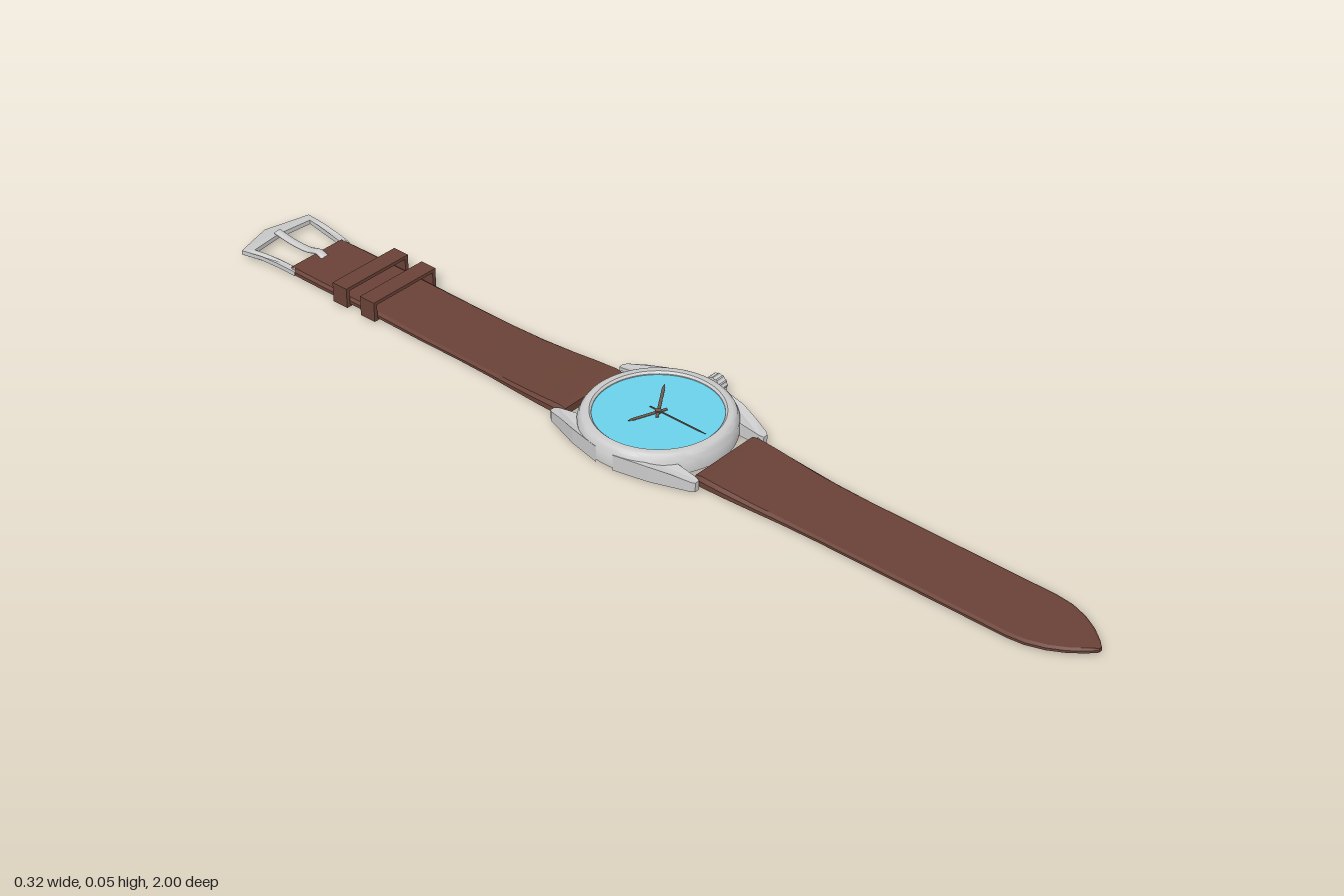
import * as THREE from 'three';
import { toCreasedNormals } from 'three/addons/utils/BufferGeometryUtils.js';

const CX = -0.013, CZ = 0.03; // centre of the watch head
const steel = new THREE.MeshStandardMaterial({ color: 0xcccccc });
const leather = new THREE.MeshStandardMaterial({ color: 0x6a4237 });
const dialBlue = new THREE.MeshStandardMaterial({ color: 0x6ad2ec });
const handBrown = new THREE.MeshStandardMaterial({ color: 0x6b5a50 });

function add(parent, name, geometry, material, x = 0, y = 0, z = 0) {
  const mesh = new THREE.Mesh(geometry, material);
  mesh.name = name;
  mesh.position.set(x, y, z);
  parent.add(mesh);
  return mesh;
}

// Plan outline of [x, z] points, extruded upwards from y = 0
function plate(points, height, hole) {
  const path = (pts) => pts.map(([x, z]) => new THREE.Vector2(x, -z));
  const shape = new THREE.Shape(path(points));
  if (hole) shape.holes.push(new THREE.Path(path(hole)));
  const geo = new THREE.ExtrudeGeometry(shape, { depth: height, bevelEnabled: false });
  return geo.rotateX(-Math.PI / 2);
}

// Move each vertex's y by a rule
function shiftY(geo, rule) {
  const p = geo.attributes.position;
  for (let i = 0; i < p.count; i++) p.setY(i, rule(p.getX(i), p.getY(i), p.getZ(i)));
  geo.computeVertexNormals();
  return geo;
}

// Strap lofted along z from stations [z, halfWidth, bottom, top] in rising z
function strapGeometry(stations) {
  const pos = [], idx = [], n = 6;
  for (const [z, w, b, t] of stations) {
    const h = t - b, c = Math.min(0.006, w * 0.4);
    pos.push(-w, b, z, w, b, z, w, b + h * 0.6, z, w - c, t, z, c - w, t, z, -w, b + h * 0.6, z);
  }
  const last = (stations.length - 1) * n;
  for (let s = 0; s < last; s += n)
    for (let i = 0; i < n; i++) {
      const a = s + i, d = s + ((i + 1) % n);
      idx.push(a, d, d + n, a, d + n, a + n);
    }
  for (let i = 1; i < n - 1; i++) {
    idx.push(0, i + 1, i);
    idx.push(last, last + i, last + i + 1);
  }
  const geo = new THREE.BufferGeometry();
  geo.setAttribute('position', new THREE.Float32BufferAttribute(pos, 3));
  geo.setIndex(idx);
  return toCreasedNormals(geo, 0.4);
}

function buildHead() {
  const head = new THREE.Group();
  head.name = 'watchHead';
  head.position.set(0, 0, CZ);

  // Case and rounded bezel turned in one piece
  const profile = [[0, 0.001], [0.13, 0.001], [0.142, 0.004], [0.147, 0.008], [0.147, 0.034], [0.145, 0.037],
    [0.143, 0.043], [0.139, 0.048], [0.133, 0.05], [0.125, 0.05], [0.121, 0.046], [0.121, 0.04]];
  const lathe = new THREE.LatheGeometry(profile.map(([r, y]) => new THREE.Vector2(r, y)), 72);
  add(head, 'caseAndBezel', toCreasedNormals(lathe, 0.6), steel);
  add(head, 'dial', new THREE.CylinderGeometry(0.1215, 0.1215, 0.004, 72), dialBlue, 0, 0.042, 0);

  // Four lugs sloping down to their tips, with spring bars between
  for (const sz of [1, -1]) {
    for (const sx of [1, -1]) {
      const outline = [[0.084, 0.1], [0.086, 0.165], [0.089, 0.173], [0.099, 0.173], [0.104, 0.167],
        [0.117, 0.13], [0.131, 0.09], [0.146, 0.02], [0.115, 0.06]];
      const geo = plate(outline.map(([x, z]) => [x * sx, z * sz]), 1);
      shiftY(geo, (x, y, z) => {
        const t = Math.max(0, (Math.abs(z) - 0.06) / 0.113);
        return y > 0.5 ? 0.036 - 0.014 * t * t : 0.003;
      });
      add(head, 'lug', geo, steel);
    }
    const bar = new THREE.CylinderGeometry(0.005, 0.005, 0.176, 12).rotateZ(Math.PI / 2);
    add(head, 'springBar', bar, steel, 0, 0.013, sz * 0.163);
  }

  // Fluted crown with stem
  const flutes = [];
  for (let i = 0; i < 48; i++) {
    const a = (i / 48) * Math.PI * 2, r = i % 4 < 2 ? 0.0195 : 0.0178;
    flutes.push([Math.cos(a) * r, Math.sin(a) * r]);
  }
  add(head, 'crown', plate(flutes, 0.02).rotateZ(-Math.PI / 2), steel, 0.151, 0.023, 0);
  add(head, 'crownStem', new THREE.CylinderGeometry(0.01, 0.01, 0.02, 20).rotateZ(Math.PI / 2), steel, 0.148, 0.023, 0);

  // Hands: [name, tip x, tip z, width, tail, height]
  const hands = [['hourHand', -0.058, -0.022, 0.007, 0.018, 0.0448],
    ['minuteHand', 0.073, -0.049, 0.006, 0.02, 0.0462], ['secondHand', 0, 0.113, 0.003, 0.02, 0.0474]];
  for (const [name, x, z, w, tail, y] of hands) {
    const len = Math.hypot(x, z);
    const outline = [[-w / 2, -tail], [w / 2, -tail], [w / 2, len * 0.85], [0, len], [-w / 2, len * 0.85]];
    add(head, name, plate(outline, 0.001), handBrown, 0, y, 0).rotation.y = Math.atan2(x, z);
  }
  add(head, 'handHub', new THREE.CylinderGeometry(0.006, 0.006, 0.006, 20), handBrown, 0, 0.046, 0);
  return head;
}

function buildBuckle() {
  const buckle = new THREE.Group();
  buckle.name = 'buckle';

  // Tapered frame with a pointed end, gently arched
  const right = [[0.074, -0.838], [0.078, -0.875], [0.083, -0.92], [0.09, -0.968]];
  const inner = [[0.061, -0.85], [0.065, -0.885], [0.07, -0.92], [0.074, -0.948]];
  const mirror = (pts) => pts.map(([x, z]) => [-x, z]).reverse();
  const frame = plate([...right, [0, -1], ...mirror(right)], 0.009, [...inner, [0, -0.957], ...mirror(inner)]);
  shiftY(frame, (x, y, z) => y + 0.007 + 0.006 * Math.sin(Math.PI * Math.min(1, (-0.84 - z) / 0.16))
    - (z < -0.96 ? (-0.96 - z) * 0.1 : 0));
  add(buckle, 'buckleFrame', frame, steel);

  // Tongue wrapped over the bar and resting on the frame
  const path = new THREE.CatmullRomCurve3([[0.018, -0.83], [0.024, -0.845], [0.017, -0.875], [0.017, -0.92], [0.023, -0.962]]
    .map(([y, z]) => new THREE.Vector3(0, y, z)));
  const tongue = new THREE.TubeGeometry(path, 24, 0.009, 10);
  // flatten the tube
  const flat = tongue.attributes.position, c = new THREE.Vector3();
  for (let i = 0; i < flat.count; i++) {
    path.getPointAt(Math.floor(i / 11) / 24, c);
    flat.setY(i, c.y + (flat.getY(i) - c.y) * 0.45);
  }
  tongue.computeVertexNormals();
  add(buckle, 'tongue', tongue, steel);
  add(buckle, 'buckleBar', new THREE.CylinderGeometry(0.006, 0.006, 0.14, 12).rotateZ(Math.PI / 2), steel, 0, 0.013, -0.846);
  return buckle;
}

export function createModel() {
  const model = new THREE.Group();
  model.name = 'wristwatch';
  const watch = new THREE.Group();
  watch.name = 'watch';
  watch.position.x = CX;
  model.add(watch);
  watch.add(buildHead(), buildBuckle());

  // Long strap half with a rounded point
  add(watch, 'longStrap', strapGeometry([
    [0.186, 0.084, 0.006, 0.021], [0.2, 0.084, 0.005, 0.024], [0.25, 0.083, 0.005, 0.021], [0.31, 0.08, 0.005, 0.017],
    [0.38, 0.076, 0.005, 0.014], [0.46, 0.074, 0.005, 0.013], [0.86, 0.073, 0.005, 0.013], [0.895, 0.069, 0.005, 0.013],
    [0.93, 0.057, 0.005, 0.013], [0.96, 0.04, 0.005, 0.013], [0.985, 0.02, 0.005, 0.013], [1, 0.004, 0.005, 0.013]]), leather);

  // Short strap half, rising slightly under the keepers
  add(watch, 'shortStrap', strapGeometry([
    [-0.852, 0.072, 0.007, 0.019], [-0.8, 0.073, 0.007, 0.019], [-0.65, 0.073, 0.007, 0.018], [-0.5, 0.074, 0.005, 0.014],
    [-0.4, 0.074, 0.005, 0.013], [-0.32, 0.076, 0.005, 0.014], [-0.25, 0.08, 0.005, 0.017], [-0.19, 0.083, 0.005, 0.021],
    [-0.14, 0.084, 0.005, 0.024], [-0.126, 0.084, 0.006, 0.021]]), leather);

  // Two hollow keeper loops
  for (const z of [-0.629, -0.703]) {
    const rect = (w, b, t) => [[-w, b], [w, b], [w, t], [-w, t]].map(([x, y]) => new THREE.Vector2(x, y));
    const loop = new THREE.Shape(rect(0.083, 0.003, 0.045));
    loop.holes.push(new THREE.Path(rect(0.075, 0.008, 0.038)));
    const geo = new THREE.ExtrudeGeometry(loop, { depth: 0.037, bevelEnabled: false });
    add(watch, 'keeperLoop', geo, leather, 0, 0, z - 0.0185);
  }
  return model;
}
